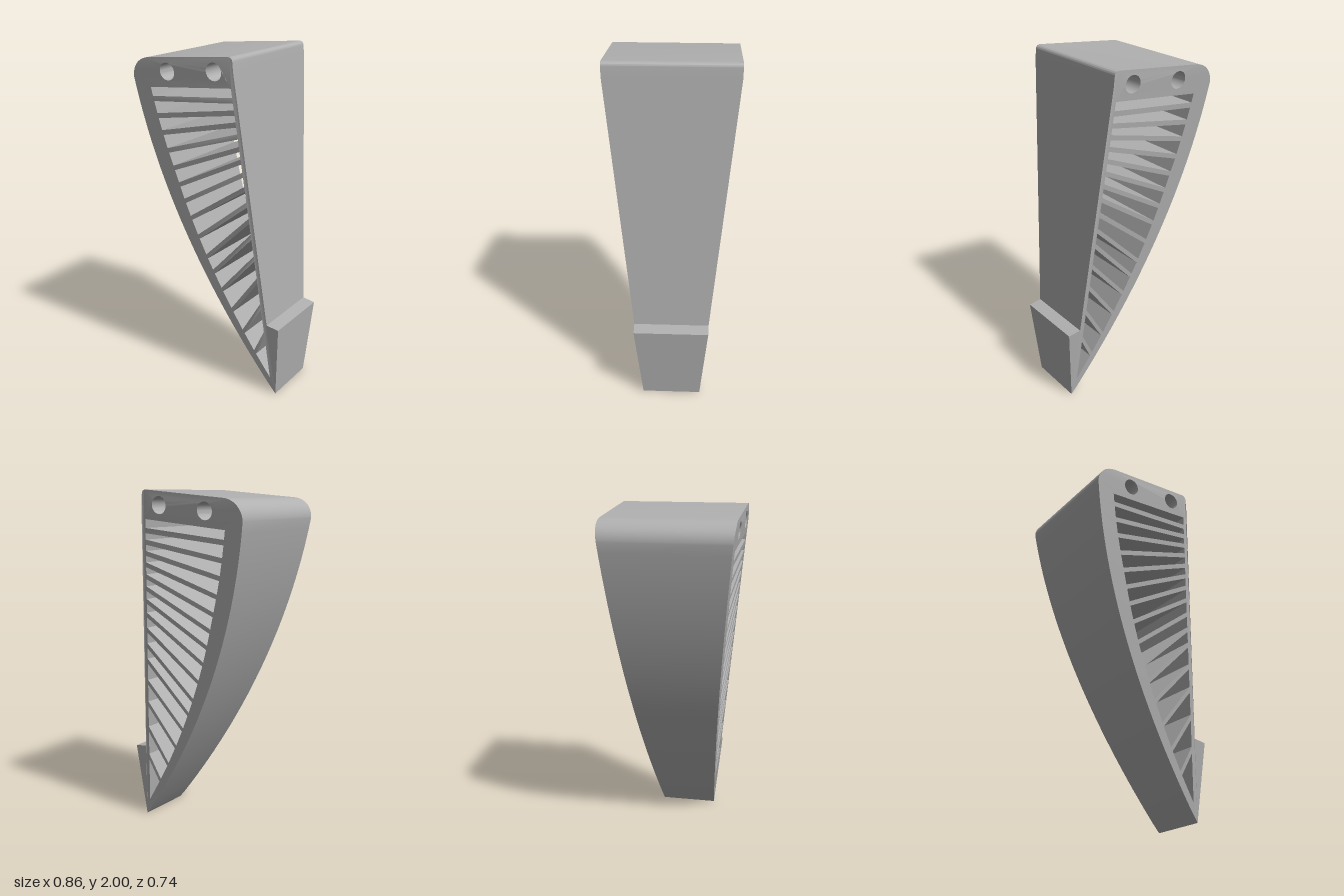
import * as THREE from 'three';
import { toCreasedNormals } from 'three/addons/utils/BufferGeometryUtils.js';

// Profile walls as x for a given height
const outerX = y => 0.39 - 0.75 * y + 0.164 * y * y;
const innerLeftX = y => outerX(y) + Math.min(0.105, 0.04 + 0.05 * y);
const innerRightX = y => 0.369 - 0.0885 * y;

// Rib centre lines: height at the curved wall, height at the straight wall
const ribs = [
  [1.73, 1.778], [1.635, 1.714], [1.54, 1.651], [1.439, 1.587], [1.339, 1.519],
  [1.243, 1.45], [1.148, 1.376], [1.048, 1.296], [0.937, 1.206], [0.82, 1.111],
  [0.73, 1.016], [0.624, 0.884], [0.503, 0.746], [0.376, 0.582], [0.254, 0.397],
];

// Point where a line, shifted sideways by h, meets a wall
function meetWall(a, b, h, wall, lo, hi) {
  const d = b.clone().sub(a);
  const n = new THREE.Vector2(-d.y, d.x).normalize().multiplyScalar(h);
  const at = t => a.clone().addScaledVector(d, t).add(n);
  for (let i = 0; i < 40; i++) {
    const mid = (lo + hi) / 2, p = at(mid);
    if (p.x < wall(p.y)) lo = mid; else hi = mid;
  }
  return at(lo);
}

function ribEdge([yl, yr], h) {
  const a = new THREE.Vector2(innerLeftX(yl), yl);
  const b = new THREE.Vector2(innerRightX(yr), yr);
  return [meetWall(a, b, h, innerLeftX, -0.5, 0.5), meetWall(a, b, h, innerRightX, 0.5, 1.5)];
}

function fingerShape() {
  // Outline: tip, foot pad, straight back, rounded top, curved side
  const s = new THREE.Shape();
  s.moveTo(0.392, 0);
  s.lineTo(0.429, 0.455);
  s.lineTo(0.353, 0.467);
  s.lineTo(0.226, 1.92);
  s.lineTo(0.221, 1.975);
  s.quadraticCurveTo(0.219, 2.0, 0.195, 2.0);
  s.lineTo(-0.32, 1.957);
  s.bezierCurveTo(-0.39, 1.95, -0.435, 1.9, outerX(1.84), 1.84);
  for (let i = 1; i < 32; i++) {
    const y = 1.84 * (1 - i / 32);
    s.lineTo(outerX(y), y);
  }
  s.closePath();

  // Slots between the ribs
  let top = [new THREE.Vector2(-0.323, 1.794), new THREE.Vector2(0.206, 1.841)];
  ribs.forEach((rib, i) => {
    const h = 0.0145 - 0.0003 * i;
    const [l, r] = ribEdge(rib, h);
    s.holes.push(new THREE.Path([top[0], l, r, top[1]]));
    top = ribEdge(rib, -h);
  });
  s.holes.push(new THREE.Path([top[0], new THREE.Vector2(0.359, 0.105), top[1]]));

  // Bolt holes
  for (const [x, y] of [[-0.2, 1.89], [0.104, 1.917]]) {
    s.holes.push(new THREE.Path().absarc(x, y, 0.048, 0, Math.PI * 2, true));
  }
  return s;
}

export function createModel() {
  const group = new THREE.Group();
  group.name = 'ribbedFinger';
  const grey = new THREE.MeshStandardMaterial({ color: 0xb0b0b0 });
  grey.name = 'grey';

  const geo = new THREE.ExtrudeGeometry(fingerShape(), { depth: 1, bevelEnabled: false, curveSegments: 16 });

  // Taper the depth towards the tip
  const pos = geo.attributes.position;
  for (let i = 0; i < pos.count; i++) {
    const y = Math.min(pos.getY(i), 1.93);
    pos.setZ(i, pos.getZ(i) > 0.5 ? 0.165 + 0.1045 * y : -(0.175 + 0.101 * y));
  }
  geo.computeVertexNormals();

  const body = new THREE.Mesh(toCreasedNormals(geo, 0.5), grey);
  body.name = 'fingerBody';
  group.add(body);
  return group;
}
